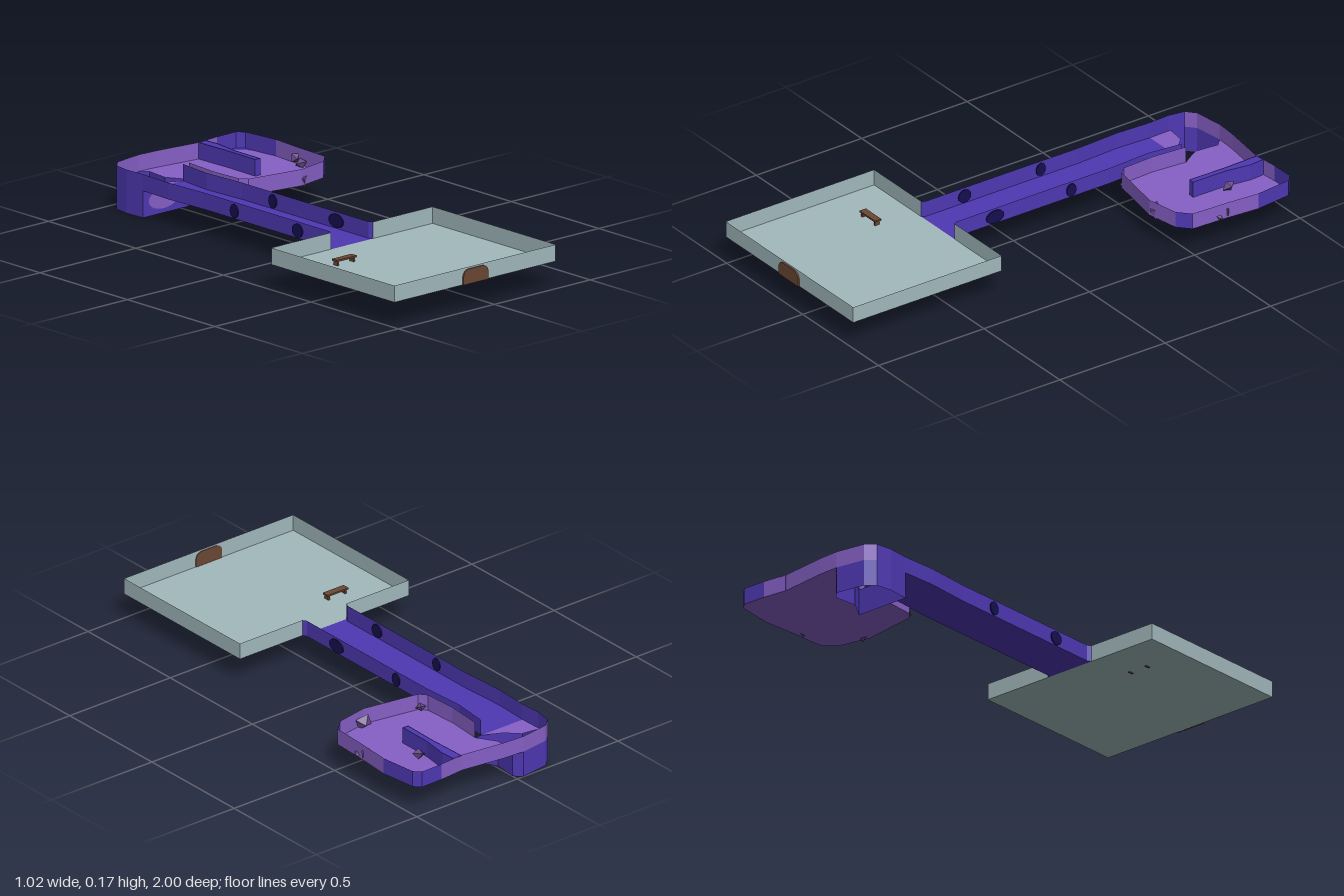
import * as THREE from 'three';

const FLOOR = 0.108, TOP = 0.175;

function material(name, color) {
  const m = new THREE.MeshStandardMaterial({ color, side: THREE.DoubleSide });
  m.name = name;
  return m;
}

export function createModel() {
  const group = new THREE.Group();
  const stone = material('pale stone', 0xa2b9bc);
  const blue = material('deep violet', 0x4e38b3);
  const purple = material('light purple', 0x8660c6);
  const navy = material('dark navy', 0x14104f);
  const brown = material('brown wood', 0x6b4733);
  const rockMat = material('dusky rock', 0x6a4c8c);

  function add(name, geometry, mat, x = 0, y = 0, z = 0) {
    const mesh = new THREE.Mesh(geometry, mat);
    mesh.name = name;
    mesh.position.set(x, y, z);
    group.add(mesh);
    return mesh;
  }

  // Flat sheet from [x, z] outline points
  function sheet(name, points, y, mat) {
    const shape = new THREE.Shape(points.map(([x, z]) => new THREE.Vector2(x, z)));
    return add(name, new THREE.ShapeGeometry(shape).rotateX(Math.PI / 2), mat, 0, y, 0);
  }

  // Upright thin wall along [x, z] points; one flat quad per segment
  function wall(name, points, y0, y1, mats) {
    const pos = [];
    const geo = new THREE.BufferGeometry();
    for (let i = 0; i < points.length - 1; i++) {
      const [ax, az] = points[i], [bx, bz] = points[i + 1];
      pos.push(ax, y0, az, bx, y0, bz, bx, y1, bz, ax, y0, az, bx, y1, bz, ax, y1, az);
      geo.addGroup(i * 6, 6, mats[i % mats.length]);
    }
    geo.setAttribute('position', new THREE.Float32BufferAttribute(pos, 3));
    geo.computeVertexNormals();
    return add(name, geo, [blue, purple, stone], 0, 0, 0);
  }

  // Entrance room: square floor with low walls, open towards the corridor
  const room = [[-0.205, 0.29], [-0.515, 0.29], [-0.515, 0.994], [0.325, 0.994], [0.325, 0.29], [0.015, 0.29]];
  sheet('roomFloor', room, FLOOR, stone);
  wall('roomWall', room, FLOOR, TOP, [2]);

  // Arched door in the front wall, seen from both sides
  const arch = new THREE.Shape();
  arch.moveTo(-0.065, 0);
  arch.lineTo(0.065, 0);
  arch.lineTo(0.065, 0.03);
  arch.quadraticCurveTo(0.062, 0.06, 0.03, 0.06);
  arch.lineTo(-0.03, 0.06);
  arch.quadraticCurveTo(-0.062, 0.06, -0.065, 0.03);
  add('door', new THREE.ExtrudeGeometry(arch, { depth: 0.009, bevelEnabled: false }), brown, -0.095, FLOOR, 0.991);

  // Bench
  add('benchSeat', new THREE.BoxGeometry(0.103, 0.007, 0.03), brown, -0.295, 0.129, 0.466);
  for (const x of [-0.337, -0.253]) {
    add('benchLeg', new THREE.BoxGeometry(0.008, 0.021, 0.022), brown, x, 0.1155, 0.466);
  }

  // Corridor with gently wavering walls
  const leftSide = [[0.015, 0.29], [0.005, 0.275], [0.005, -0.1], [0.005, -0.45], [-0.006, -0.64], [0.01, -0.79]];
  const rightSide = [[-0.205, 0.29], [-0.196, 0.275], [-0.196, -0.1], [-0.195, -0.45], [-0.205, -0.64], [-0.198, -0.79]];
  sheet('corridorFloor', [...leftSide, ...rightSide.slice().reverse()], FLOOR, blue);
  wall('corridorLeftWall', leftSide, FLOOR, TOP, [0]);
  wall('corridorRightWall', rightSide, FLOOR, TOP, [0]);

  // Rounded dark niches on both corridor walls
  for (const [z, w, wRight] of [[0.092, 0.042, 0.03], [-0.27, 0.023, 0.023]]) {
    for (const [x, r] of [[0.005, w], [-0.196, wRight]]) {
      const niche = add('wallNiche', new THREE.CylinderGeometry(1, 1, 0.009, 14).rotateZ(Math.PI / 2), navy, x, 0.139, z);
      niche.scale.set(1, 0.028, r);
    }
  }

  // Bottomless shaft at the corridor's end
  const outer = [[-0.198, -0.79], [-0.203, -0.88], [-0.192, -0.95], [-0.155, -0.982], [-0.03, -1]];
  const inner = [[-0.03, -1], [0, -0.97], [-0.01, -0.87], [0.02, -0.82], [0.04, -0.79]];
  wall('shaftOuterWall', outer, 0, FLOOR, [0]);
  wall('shaftInnerWall', inner, 0, FLOOR, [0]);
  wall('shaftFrontWall', [[-0.198, -0.79], [0.04, -0.79]], 0, FLOOR, [0]);
  wall('shaftUpperWall', outer, FLOOR, TOP, [0, 0, 1, 1]);
  sheet('shaftLedge', [[-0.198, -0.79], [-0.2, -0.89], [-0.12, -0.88], [-0.07, -0.83], [0.01, -0.79]], FLOOR, purple);
  add('shaftPatch', new THREE.CircleGeometry(1, 28), purple, -0.093, 0.06, -0.787).scale.set(0.078, 0.041, 1);

  // Cave floor and its irregular ring of walls
  const cave = [[-0.03, -1], [0.06, -0.995], [0.25, -0.97], [0.36, -0.98], [0.46, -0.982], [0.485, -0.955],
    [0.503, -0.8], [0.492, -0.66], [0.485, -0.5], [0.435, -0.455], [0.3, -0.43], [0.06, -0.47],
    [0.035, -0.5], [0.028, -0.64], [0.04, -0.79]];
  sheet('caveFloor', [...cave, ...inner.slice(1, -1).reverse()], FLOOR, purple);
  wall('caveWall', cave, FLOOR, TOP, [1, 1, 1, 0, 0, 0, 1, 1, 0, 1, 1, 1, 1, 1]);

  // Violet stains on the cave floor
  sheet('floorStain', [[0.485, -0.5], [0.435, -0.455], [0.4, -0.462], [0.45, -0.51], [0.48, -0.59]], FLOOR + 0.002, blue);
  sheet('floorStain', [[0.42, -0.98], [0.46, -0.982], [0.485, -0.955], [0.487, -0.9], [0.465, -0.94]], FLOOR + 0.002, blue);

  // Tapering partition reaching in from the back wall
  const spur = [[0.255, -0.972], [0.26, -0.8], [0.257, -0.65], [0.283, -0.648], [0.284, -0.8], [0.3, -0.91], [0.295, -0.974]];
  wall('partitionWall', spur, FLOOR, TOP, [0]);
  sheet('partitionTop', spur, TOP - 0.002, blue);

  // Loose angular rocks
  const rocks = [[0.32, 0.13, -0.79, 0.03], [0.48, 0.135, -0.665, 0.024], [0.475, 0.122, -0.625, 0.03],
    [0.06, 0.125, -0.485, 0.022], [0.315, 0.13, -0.45, 0.038]];
  rocks.forEach(([x, y, z, r], i) => {
    const rock = add('rock', new THREE.OctahedronGeometry(r), rockMat, x, y, z);
    rock.rotation.set(0.4 + i, 0.7 * i, 0.3);
    rock.scale.y = 0.7;
  });

  return group;
}
